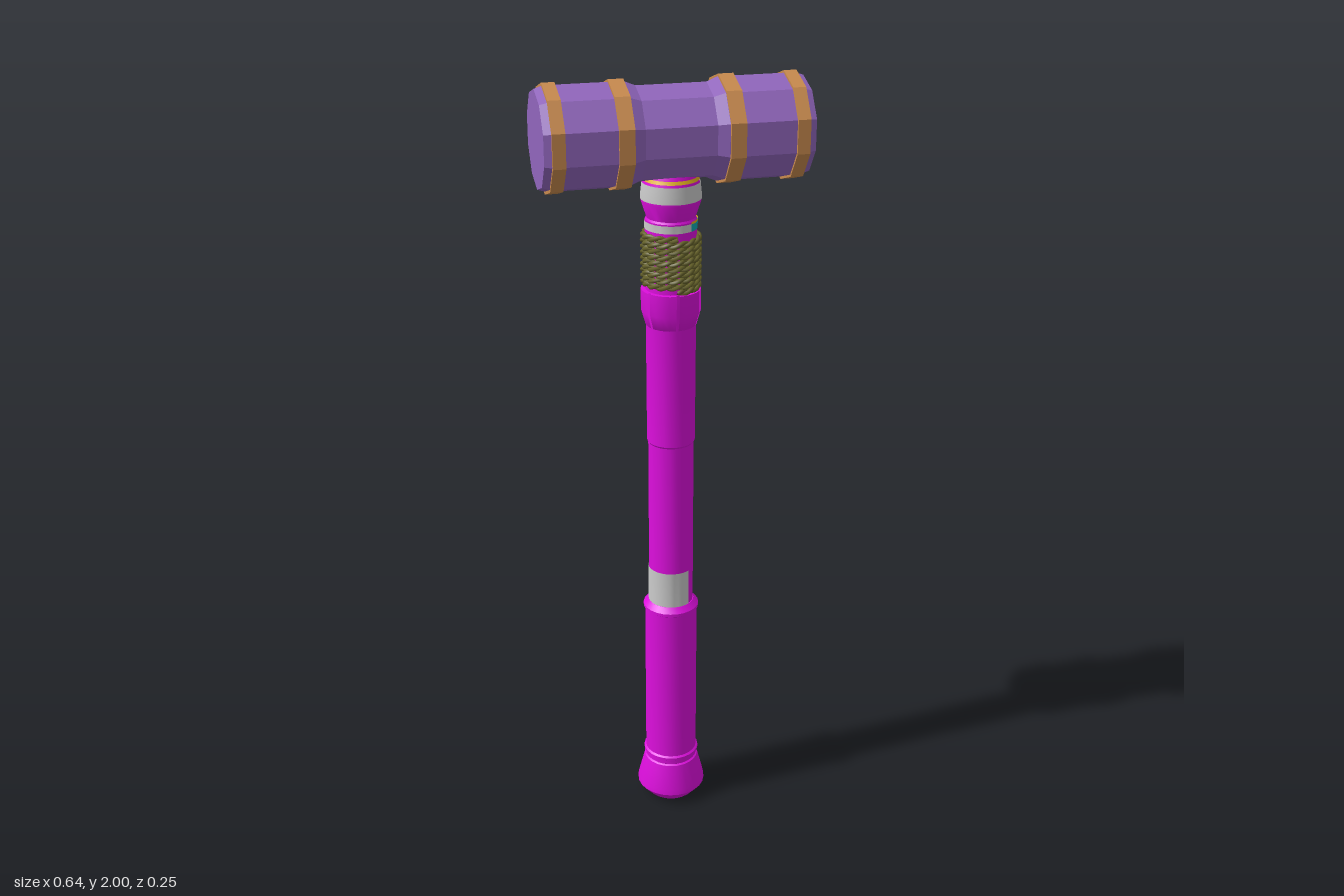
import * as THREE from 'three';
import { toCreasedNormals } from 'three/addons/utils/BufferGeometryUtils.js';

const material = (color, extra = {}) => new THREE.MeshStandardMaterial({ color, ...extra });
const purple = material(0x9166bd, { flatShading: true });
const copper = material(0xc88a4e, { flatShading: true });
const magenta = material(0xdd0fdd, { side: THREE.DoubleSide });
const grey = material(0xcccccc, { side: THREE.DoubleSide });
const teal = material(0x10a8b0, { side: THREE.DoubleSide });
const yellow = material(0xe0b020, { side: THREE.DoubleSide });
const hemp = material(0x66622a);
const HEAD_Y = 1.872;

// Lathe from [radius, height] pairs; start and sweep in degrees, 0 facing +z
function turned(name, profile, mat, segments = 24, start = 0, sweep = 360) {
  const points = profile.map(([r, y]) => new THREE.Vector2(r, y));
  const rad = THREE.MathUtils.degToRad;
  const geometry = new THREE.LatheGeometry(points, segments, rad(start), rad(sweep));
  const mesh = new THREE.Mesh(toCreasedNormals(geometry, 0.5), mat);
  mesh.name = name;
  return mesh;
}

// Ten-sided solid turned about the x axis, with a ridge along the top
function decagon(name, profile, mat) {
  const mesh = turned(name, profile, mat, 10, 90);
  mesh.rotation.z = -Math.PI / 2;
  mesh.position.y = HEAD_Y;
  return mesh;
}

// One strand of a two-ply cord wound round the handle
class Strand extends THREE.Curve {
  constructor(phase) {
    super();
    this.phase = phase;
  }
  getPoint(t, target = new THREE.Vector3()) {
    const turns = 9;
    const a = t * turns * Math.PI * 2;
    const twist = a * 7 + this.phase;
    const r = 0.066 + 0.004 * Math.cos(twist);
    const y = 1.497 + 0.133 * t + 0.004 * Math.sin(twist);
    return target.set(r * Math.sin(a), y, r * Math.cos(a));
  }
}

function createHead() {
  const head = new THREE.Group();
  head.name = 'head';
  head.add(decagon('malletBody', [
    [0, -0.321], [0.117, -0.321], [0.124, -0.3], [0.124, -0.112], [0.113, -0.085],
    [0.113, 0.085], [0.124, 0.112], [0.124, 0.3], [0.117, 0.321], [0, 0.321],
  ], purple));
  for (const side of [-1, 1]) {
    for (const [name, centre, half] of [['innerBand', 0.131, 0.0185], ['outerBand', 0.288, 0.0155]]) {
      const x = side * centre;
      head.add(decagon(name, [
        [0.112, x - half], [0.13, x - half], [0.13, x + half], [0.112, x + half],
      ], copper));
    }
  }
  return head;
}

function createHandle() {
  const handle = new THREE.Group();
  handle.name = 'handle';

  // Flared pommel with a shallow hollow underneath
  handle.add(turned('pommel', [
    [0, 0.025], [0.035, 0.02], [0.045, 0.005], [0.06, 0], [0.066, 0.005],
    [0.092, 0.035], [0.091, 0.05], [0.073, 0.12], [0.065, 0.125],
  ], magenta));
  handle.add(turned('pommelInset', [[0.012, 0.02], [0.036, 0.017]], teal, 12, 90, 150));

  // Grip sleeve with a raised rim at each end
  handle.add(turned('grip', [
    [0.065, 0.12], [0.07, 0.125], [0.07, 0.135], [0.074, 0.138], [0.074, 0.146], [0.069, 0.15],
    [0.069, 0.595], [0.073, 0.598], [0.073, 0.606], [0.06, 0.62], [0.056, 0.62],
  ], magenta));

  // Shaft, thicker towards the top, and the wrapped core
  handle.add(turned('shaft', [
    [0.058, 0.61], [0.058, 1.08], [0.061, 1.085], [0.062, 1.4], [0.068, 1.45],
    [0.068, 1.49], [0.063, 1.49], [0.063, 1.64],
  ], magenta));
  handle.add(turned('shaftPatch', [[0.0595, 0.62], [0.0595, 0.72]], grey, 16, -135, 173));

  // Ring of tabs clasping the top of the shaft
  for (let i = 0; i < 6; i++) {
    handle.add(turned('collarTab', [
      [0.06, 1.395], [0.064, 1.4], [0.074, 1.435], [0.074, 1.49], [0.062, 1.49],
    ], magenta, 4, i * 60 + 3, 54));
  }
  return handle;
}

function createWrap() {
  const wrap = new THREE.Group();
  wrap.name = 'cordWrap';
  for (const phase of [0, Math.PI]) {
    const strand = new THREE.Mesh(new THREE.TubeGeometry(new Strand(phase), 900, 0.0055, 6), hemp);
    strand.name = 'cordStrand';
    wrap.add(strand);
  }
  return wrap;
}

function createNeck() {
  const neck = new THREE.Group();
  neck.name = 'neck';
  neck.add(turned('neckBody', [
    [0.063, 1.635], [0.063, 1.665], [0.06, 1.67], [0.073, 1.71],
    [0.073, 1.72], [0.069, 1.755], [0.06, 1.78],
  ], magenta));
  // Coloured inlays on the ring and the collar
  neck.add(turned('greyRing', [[0.0645, 1.643], [0.0645, 1.662]], grey, 16, -135, 170));
  neck.add(turned('tealRing', [[0.0645, 1.643], [0.0645, 1.662]], teal, 12, 35, 110));
  neck.add(turned('yellowRing', [[0.0648, 1.661], [0.0648, 1.667]], yellow, 12, 35, 110));
  neck.add(turned('greyCollar', [[0.0745, 1.716], [0.0745, 1.721], [0.0705, 1.756]], grey, 20, -135, 250));
  neck.add(turned('yellowCollar', [[0.069, 1.762], [0.065, 1.77]], yellow, 16, -135, 250));
  return neck;
}

export function createModel() {
  const model = new THREE.Group();
  model.name = 'mallet';
  model.add(createHead(), createHandle(), createWrap(), createNeck());
  return model;
}
